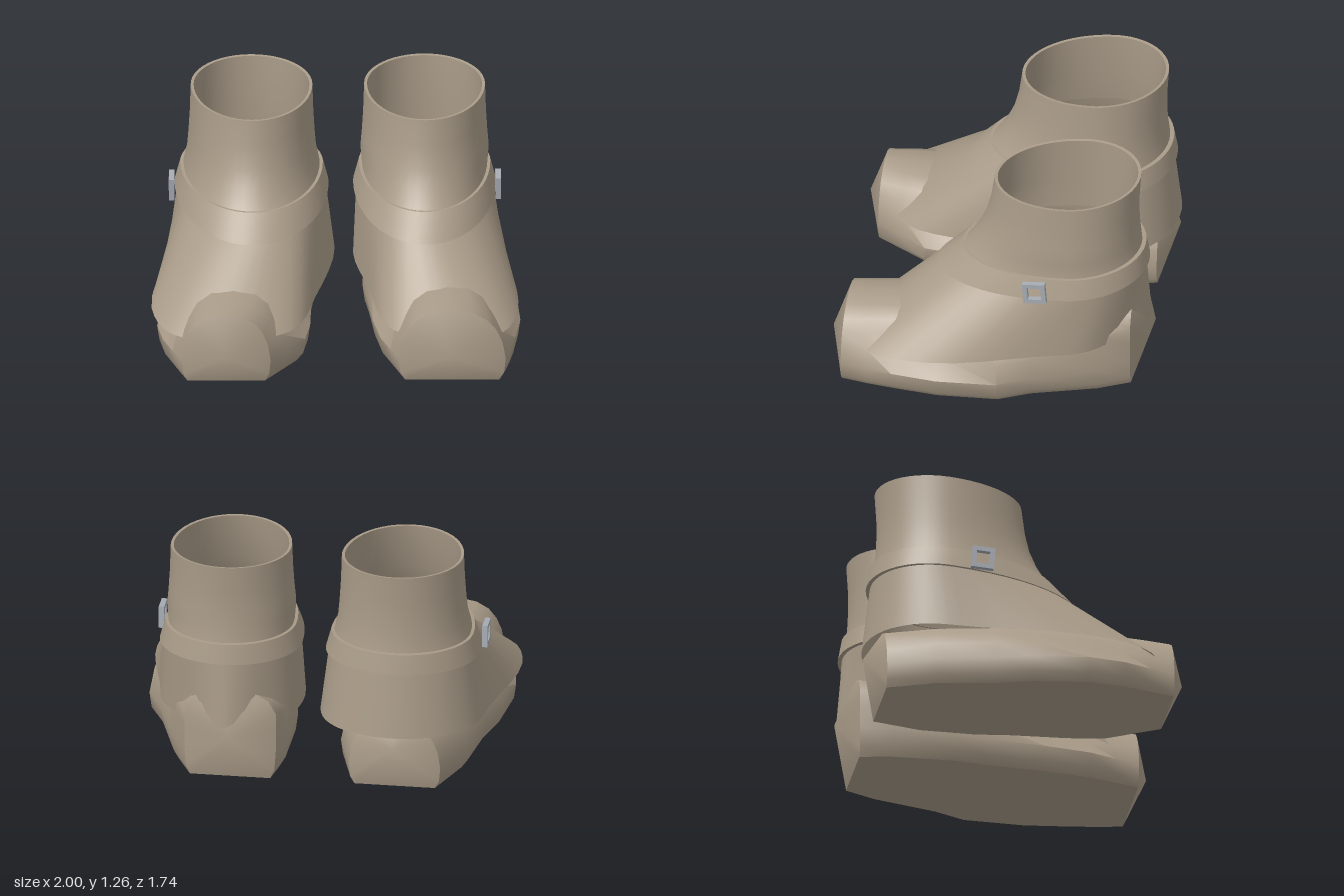
import * as THREE from 'three';
import { toCreasedNormals } from 'three/addons/utils/BufferGeometryUtils.js';

const SEG = 48;
const V = (x, y, z) => new THREE.Vector3(x, y, z);

// Skin a list of closed cross-sections that all have the same point count
function loft(rings, crease = 0.7) {
  const n = rings[0].length;
  const pos = [];
  const tri = (a, b, c) => {
    if (a.equals(b) || b.equals(c) || a.equals(c)) return;
    for (const p of [a, b, c]) pos.push(p.x, p.y, p.z);
  };
  for (let i = 0; i < rings.length - 1; i++) {
    for (let j = 0; j < n; j++) {
      const k = (j + 1) % n;
      const a = rings[i][j], b = rings[i][k], c = rings[i + 1][k], d = rings[i + 1][j];
      tri(a, b, c);
      tri(a, c, d);
    }
  }
  const g = new THREE.BufferGeometry();
  g.setAttribute('position', new THREE.Float32BufferAttribute(pos, 3));
  return toCreasedNormals(g, crease);
}

// Egg-shaped tilted ring around the ankle, starting at the front
function egg(cx, hx, zf, yf, zb, yb) {
  const zc = -0.44;
  return Array.from({ length: SEG }, (_, j) => {
    const t = (j / SEG) * Math.PI * 2, c = Math.cos(t);
    const z = zc + c * (c > 0 ? zf - zc : zc - zb);
    return V(cx + hx * Math.sin(t), yf + (yb - yf) * (zf - z) / (zf - zb), z);
  });
}

// Half of the foot's cross-section: width fraction, height fraction
const HALF = [[0.88, 0], [0.97, 0.1], [1, 0.3], [0.94, 0.54], [0.82, 0.72], [0.64, 0.86], [0.36, 0.96]];
const PROFILE = [...HALF, [0, 1], ...HALF.slice().reverse().map(([x, y]) => [-x, y])];

// Foot section: the instep is pinched narrower on top, the heel may be squared
function section([z, x0, x1, h], square) {
  const instep = THREE.MathUtils.clamp(Math.min((z + 0.1) * 3, (0.785 - z) * 4), 0, 1);
  const pinch = z < -0.5 ? -square : instep;
  return PROFILE.map(([u, v]) => {
    const w = Math.min(1, Math.abs(u) - pinch * 1.6 * Math.max(0, v - 0.3) * (1 - v));
    return V((x0 + x1) / 2 + Math.sign(u) * w * (x1 - x0) / 2, v * h, z);
  });
}
const point = (x, y, z) => PROFILE.map(() => V(x, y, z));

// Foot stations are [z, xMin, xMax, height]; hem points are [x, z] from the front
const RIGHT = {
  name: 'rightBoot', side: -1, cx: -0.45, top: 0.33, ankle: 0.4, square: 0,
  heel: [-0.45, 0.26, -0.865], toe: [-0.6, 0.16, 0.865],
  foot: [[-0.77, -0.7, -0.2, 0.4], [-0.5, -0.82, -0.12, 0.42], [-0.2, -0.87, -0.11, 0.43],
    [0, -0.93, -0.13, 0.43], [0.3, -0.97, -0.14, 0.42], [0.5, -0.94, -0.17, 0.415],
    [0.65, -0.89, -0.27, 0.4], [0.785, -0.84, -0.36, 0.385]],
  hem: [[-0.6, 0.74], [-0.25, 0.62], [-0.11, 0.2], [0, -0.4], [-0.06, -0.66], [-0.22, -0.81],
    [-0.47, -0.865], [-0.7, -0.79], [-0.86, -0.6], [-0.91, -0.3], [-1, 0.33], [-0.89, 0.65]],
};
const LEFT = {
  name: 'leftBoot', side: 1, cx: 0.488, top: 0.328, ankle: 0.37, square: 1.5,
  heel: [0.45, 0.28, -0.872], toe: [0.62, 0.16, 0.87],
  foot: [[-0.77, 0.2, 0.7, 0.54], [-0.6, 0.16, 0.79, 0.5], [-0.25, 0.15, 0.9, 0.44],
    [-0.08, 0.17, 0.985, 0.44], [0.25, 0.2, 1, 0.43], [0.5, 0.24, 0.97, 0.425],
    [0.65, 0.29, 0.945, 0.415], [0.785, 0.335, 0.915, 0.405]],
  hem: [[0.63, 0.74], [0.89, 0.66], [0.99, 0.27], [0.9, -0.28], [0.84, -0.55], [0.66, -0.74],
    [0.47, -0.855], [0.28, -0.74], [0.14, -0.58], [0.1, -0.32], [0.18, 0.1], [0.3, 0.6]],
};

function buildBoot(b, leather, metal) {
  const boot = new THREE.Group();
  boot.name = b.name;
  const add = (name, geometry, material = leather) => {
    const mesh = new THREE.Mesh(geometry, material);
    mesh.name = name;
    boot.add(mesh);
    return mesh;
  };
  const { cx, top, ankle } = b;

  // Foot body with pointed heel and toe ends
  const rings = b.foot.map((station) => section(station, b.square));
  add('foot', loft(rings));
  add('heelCap', loft([point(...b.heel), rings[0]], 1.2));
  add('toeCap', loft([rings[rings.length - 1], point(...b.toe)], 1.2));

  // Flared upper: from the hem up to the ankle
  const hem = new THREE.CatmullRomCurve3(
    b.hem.map(([x, z]) => V(x, 0.265 - 0.075 * z, z)), true);
  const hemRing = Array.from({ length: SEG }, (_, j) => hem.getPoint(j / SEG));
  const ankleRing = egg(cx, ankle, 0.3, 0.61, -0.82, 0.71);
  add('upper', loft([hemRing, ankleRing]));

  // Shaft, rolled over a thin rim to its inner lining
  add('shaft', loft([
    ankleRing,
    egg(cx, ankle - 0.03, 0.16, 0.74, -0.8, 0.81),
    egg(cx, top + 0.02, 0.095, 0.84, -0.79, 0.9),
    egg(cx, top + 0.012, 0.055, 0.93, -0.785, 1),
    egg(cx, top + 0.005, 0.025, 1.05, -0.785, 1.11),
    egg(cx, top, 0.005, 1.2, -0.795, 1.265),
    egg(cx, top - 0.016, -0.012, 1.2, -0.778, 1.262),
    egg(cx, top - 0.008, 0.03, 0.94, -0.768, 1),
    egg(cx, ankle - 0.045, 0.14, 0.74, -0.78, 0.81),
  ]));

  // Ankle strap
  add('strap', loft([
    egg(cx, ankle - 0.01, 0.29, 0.602, -0.81, 0.7),
    egg(cx, ankle + 0.018, 0.32, 0.6, -0.842, 0.703),
    egg(cx, ankle - 0.013, 0.182, 0.735, -0.823, 0.815),
    egg(cx, ankle - 0.035, 0.155, 0.735, -0.8, 0.815),
  ]));

  // Square buckle frame on the outer side
  const square = (Path, r) => new Path(
    [[-r, -r], [r, -r], [r, r], [-r, r]].map((p) => new THREE.Vector2(...p)));
  const frame = square(THREE.Shape, 0.062);
  frame.holes.push(square(THREE.Path, 0.037));
  const frameGeo = new THREE.ExtrudeGeometry(frame, { depth: 0.03, bevelEnabled: false });
  frameGeo.translate(0, 0, -0.015);
  frameGeo.rotateY(Math.PI / 2);
  frameGeo.rotateX(0.08);
  add('buckle', frameGeo, metal).position.set(b.side * 0.885, 0.713, -0.275);
  return boot;
}

export function createModel() {
  const leather = new THREE.MeshStandardMaterial({ color: 0xa99b88, side: THREE.DoubleSide });
  leather.name = 'tan leather';
  const metal = new THREE.MeshStandardMaterial({ color: 0xa6abb3 });
  metal.name = 'buckle metal';
  const model = new THREE.Group();
  model.name = 'boots';
  for (const b of [RIGHT, LEFT]) model.add(buildBoot(b, leather, metal));
  return model;
}
